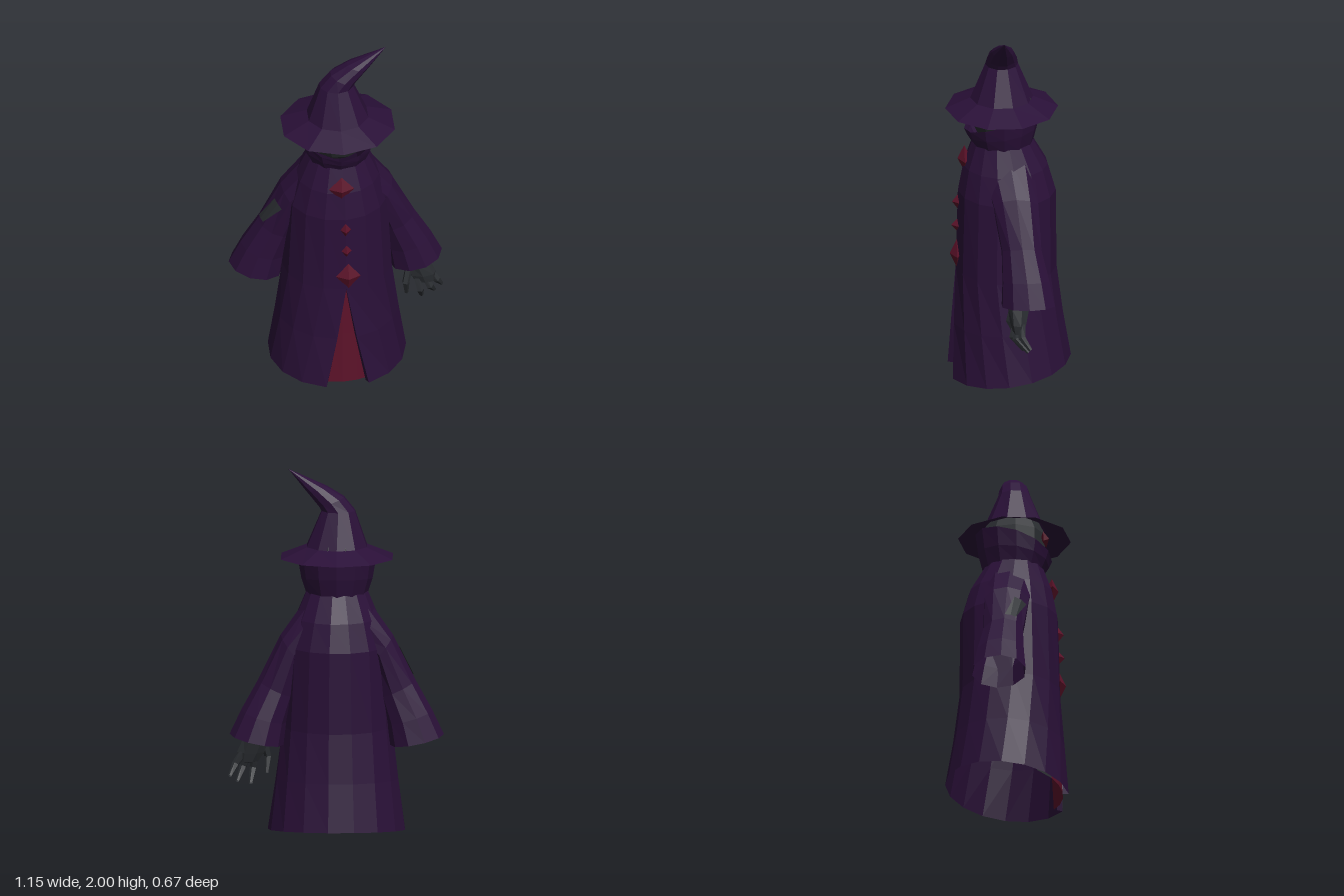
import * as THREE from 'three';

const mat = (name, color) => {
  const m = new THREE.MeshStandardMaterial({ color, flatShading: true, side: THREE.DoubleSide });
  m.name = name;
  return m;
};
const V = (x, y, z) => new THREE.Vector3(x, y, z);
const range = (n, f) => Array.from({ length: n }, (_, i) => f(i));

// Faceted skin over rows of points, listed from top to bottom
function skin(rows) {
  const pos = [];
  for (let i = 0; i < rows.length - 1; i++) {
    for (let j = 0; j < rows[i].length - 1; j++) {
      const a = rows[i][j], b = rows[i + 1][j], c = rows[i + 1][j + 1], d = rows[i][j + 1];
      for (const p of [a, b, c, a, c, d]) pos.push(p.x, p.y, p.z);
    }
  }
  const g = new THREE.BufferGeometry();
  g.setAttribute('position', new THREE.Float32BufferAttribute(pos, 3));
  g.computeVertexNormals();
  return g;
}

// Robe profile: height, half width, back z, front z
const PROFILE = [
  [1.34, 0.165, -0.135, 0.19], [1.2, 0.225, -0.215, 0.24], [1.05, 0.27, -0.258, 0.268],
  [0.61, 0.295, -0.262, 0.28], [0.3, 0.33, -0.295, 0.3], [0, 0.37, -0.338, 0.325],
];
const robePoint = ([y, rx, zb, zf], t, k = 1) => {
  const hem = (0.045 - 0.045 * Math.cos(t)) * Math.max(0, 1 - y / 0.61);
  return V(k * rx * Math.sin(t), y + hem, (zb + zf) / 2 + k * (zf - zb) / 2 * Math.cos(t));
};

// Sleeve sections: outer x,y / inner x,y / z centre / z half depth
const SLEEVE = [
  [0.17, 1.29, 0.12, 1.02, 0, 0.14], [0.3, 1.11, 0.19, 0.97, -0.03, 0.125],
  [0.42, 0.87, 0.23, 0.78, -0.055, 0.11], [0.51, 0.71, 0.27, 0.64, -0.075, 0.13],
  [0.572, 0.58, 0.285, 0.52, -0.085, 0.147],
];
const sleevePoint = ([ox, oy, ix, iy, cz, hz], t, s, k = 1) => {
  const c = k * Math.cos(t);
  return V(s * ((ox + ix) / 2 + c * (ox - ix) / 2), (oy + iy) / 2 + c * (oy - iy) / 2, cz + k * hz * Math.sin(-s * t));
};

// Tapered five-sided limb through the given points
function limb(points, radii) {
  const rows = points.map((p, i) => {
    const dir = points[Math.min(i + 1, points.length - 1)].clone().sub(points[Math.max(i - 1, 0)]).normalize();
    const u = V(1, 0, 0).addScaledVector(dir, -dir.x).normalize();
    const w = u.clone().cross(dir);
    return range(6, j => {
      const a = -j / 5 * Math.PI * 2;
      return p.clone().addScaledVector(u, radii[i] * Math.cos(a)).addScaledVector(w, -radii[i] * Math.sin(a));
    });
  });
  return skin(rows);
}

export function createModel() {
  const model = new THREE.Group();
  model.name = 'robedFigure';
  const purple = mat('purple cloth', 0x2a1038);
  const red = mat('crimson', 0x5a1128);
  const grey = mat('charcoal skin', 0x2b2e32);
  const add = (name, geo, m, parent = model) => {
    const mesh = new THREE.Mesh(geo, m);
    mesh.name = name;
    parent.add(mesh);
    return mesh;
  };

  // Robe with a front slit and folded-in slit edges
  const N = 15, mid = 0.07;
  add('robe', skin(PROFILE.map(p => {
    const a = 0.315 * Math.max(0, 1 - p[0] / 0.61);
    const t = i => mid + a + (Math.PI * 2 - 2 * a) * i / N;
    return [robePoint(p, t(0), 0.9), ...range(N + 1, i => robePoint(p, t(i))), robePoint(p, t(N), 0.9)];
  })), purple);

  // Gown panel behind the slit
  const panel = (t0, t1, n) => skin(PROFILE.slice(3).map(p =>
    range(n + 1, i => robePoint(p, t0 + (t1 - t0) * i / n, 0.9).add(V(0, 0.015, 0)))));
  add('innerGown', panel(-0.75, 0.5, 5), red);
  add('innerGownSide', panel(-1.1, -0.75, 1), grey);

  // Collar: low at the front, high at the back
  const collar = [[0.165, 1.33, 1.33], [0.19, 1.37, 1.43], [0.205, 1.405, 1.55]];
  add('collar', skin(collar.reverse().map(([r, yf, yb]) => range(13, i => {
    const t = i / 12 * Math.PI * 2;
    const k = Math.pow((1 - Math.cos(t)) / 2, 0.75);
    return V(r * Math.sin(t), yf + (yb - yf) * k, 0.028 + r * Math.cos(t));
  }))), purple);

  // Head and slanted eyes
  add('head', new THREE.SphereGeometry(0.18, 10, 7), grey).position.set(0, 1.5, 0.025);
  for (const s of [-1, 1]) {
    const eye = add('eye', new THREE.OctahedronGeometry(1), red);
    eye.scale.set(0.026, 0.045, 0.025);
    eye.position.set(s * 0.077, 1.5, 0.188);
    eye.rotation.set(0, s * 0.4, -s * 0.65);
  }

  // Hat: brim, then a bent crown described by left and right outline points
  const hat = new THREE.Group();
  hat.name = 'hat';
  model.add(hat);
  const ring = (xl, yl, xr, yr, rz) => range(11, i => {
    const t = i / 10 * Math.PI * 2, k = Math.sin(t) / 2;
    return V((xl + xr) / 2 + k * (xr - xl), (yl + yr) / 2 + k * (yr - yl), 0.032 + rz * Math.cos(t));
  });
  const base = ring(-0.168, 1.583, 0.168, 1.583, 0.168);
  add('brim', skin([base, ring(-0.313, 1.523, 0.313, 1.523, 0.302)]), purple, hat);
  add('crown', skin([
    ring(0.26, 2, 0.26, 2, 0),
    ring(0.05, 1.905, 0.165, 1.88, 0.06),
    ring(-0.04, 1.85, 0.1, 1.8, 0.08),
    ring(-0.1, 1.775, 0.085, 1.775, 0.088),
    base,
  ]), purple, hat);

  // Bell sleeves
  for (const s of [-1, 1]) {
    add(s > 0 ? 'leftSleeve' : 'rightSleeve', skin(SLEEVE.map(p =>
      range(11, i => sleevePoint(p, i / 10 * Math.PI * 2, s)))), purple);
  }

  // Bare patch of arm on the right sleeve
  const mix = k => SLEEVE[1].map((v, i) => v + (SLEEVE[2][i] - v) * k);
  add('barePatch', skin([[0.3, 0.35, 1.05], [0.9, 0, 0.55]].map(([k, t0, t1]) =>
    range(3, i => sleevePoint(mix(k), t0 + (t1 - t0) * i / 2, -1, 1.05)))), grey);

  // Left hand with hanging, curled fingers
  const hand = new THREE.Group();
  hand.name = 'leftHand';
  model.add(hand);
  const palm = [[0.42, 0.66, -0.05, 0.05, 0.05], [0.43, 0.55, -0.035, 0.07, 0.06],
    [0.46, 0.47, -0.03, 0.075, 0.045], [0.475, 0.42, -0.03, 0.055, 0.03], [0.475, 0.41, -0.03, 0, 0]];
  add('palm', skin(palm.map(([x, y, z, rx, rz]) => range(8, i => {
    const t = i / 7 * Math.PI * 2;
    return V(x + rx * Math.sin(t), y, z + rz * Math.cos(t));
  }))), grey, hand);
  const fingers = [
    [V(0.39, 0.54, -0.01), V(0.368, 0.44, 0.012), V(0.375, 0.355, -0.02)],
    [V(0.43, 0.46, -0.02), V(0.447, 0.38, 0), V(0.46, 0.305, -0.06)],
    [V(0.47, 0.46, -0.03), V(0.5, 0.39, -0.015), V(0.53, 0.32, -0.08)],
    [V(0.5, 0.47, -0.045), V(0.54, 0.41, -0.045), V(0.57, 0.35, -0.09)],
  ];
  for (const f of fingers) add('finger', limb(f, [0.021, 0.02, 0.011]), grey, hand);

  // Gems down the front: x, y, z, half width, half height
  const gems = [[0, 1.23, 0.232, 0.068, 0.075], [0.018, 0.985, 0.262, 0.03, 0.05],
    [0.022, 0.85, 0.267, 0.028, 0.042], [0.032, 0.69, 0.275, 0.066, 0.08]];
  for (const [x, y, z, w, h] of gems) {
    const gem = add('gem', new THREE.OctahedronGeometry(1), red);
    gem.scale.set(w, h, 0.036);
    gem.position.set(x, y, z);
  }
  return model;
}
